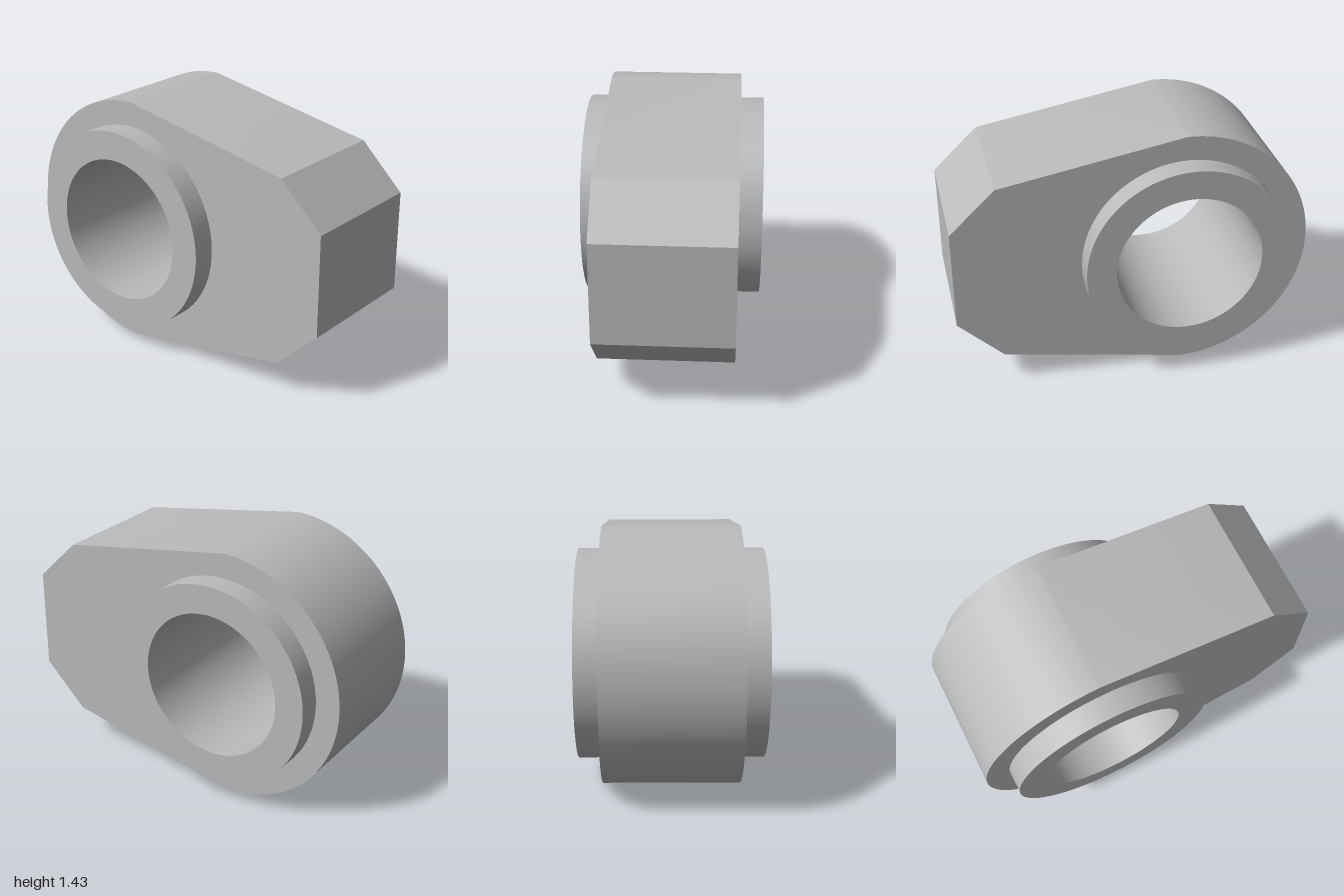
import * as THREE from 'three';
import { toCreasedNormals } from 'three/addons/utils/BufferGeometryUtils.js';

const CX = -0.283, CY = 0.718; // bore axis
const R_BODY = 0.717, R_SLEEVE = 0.578, R_BORE = 0.413;

// Extrude a shape symmetrically about z = 0, smooth on arcs and sharp at corners
function slab(shape, depth) {
  const geometry = new THREE.ExtrudeGeometry(shape, { depth, bevelEnabled: false, curveSegments: 64 });
  geometry.translate(0, 0, -depth / 2);
  return toCreasedNormals(geometry, 0.3);
}

function circleHole(radius) {
  return new THREE.Path().absarc(CX, CY, radius, 0, Math.PI * 2, true);
}

export function createModel() {
  const model = new THREE.Group();
  model.name = 'bearingHousing';
  const grey = new THREE.MeshStandardMaterial({ color: 0xbababa });
  grey.name = 'grey';

  // Housing: half-round end, tapering to a chamfered nose
  const outline = new THREE.Shape();
  outline.moveTo(CX, 0.001);
  outline.lineTo(0.748, 0.19);
  outline.lineTo(1, 0.433);
  outline.lineTo(1, 1.007);
  outline.lineTo(0.748, 1.25);
  outline.lineTo(CX, CY + R_BODY);
  outline.absarc(CX, CY, R_BODY, Math.PI / 2, Math.PI * 1.5, false);
  outline.holes.push(circleHole(R_SLEEVE));
  const housing = new THREE.Mesh(slab(outline, 0.746), grey);
  housing.name = 'housing';

  // Sleeve: runs through the housing and stands proud on both sides
  const ring = new THREE.Shape();
  ring.absarc(CX, CY, R_SLEEVE, 0, Math.PI * 2, false);
  ring.holes.push(circleHole(R_BORE));
  const sleeve = new THREE.Mesh(slab(ring, 1.01), grey);
  sleeve.name = 'sleeve';

  model.add(housing, sleeve);
  return model;
}
